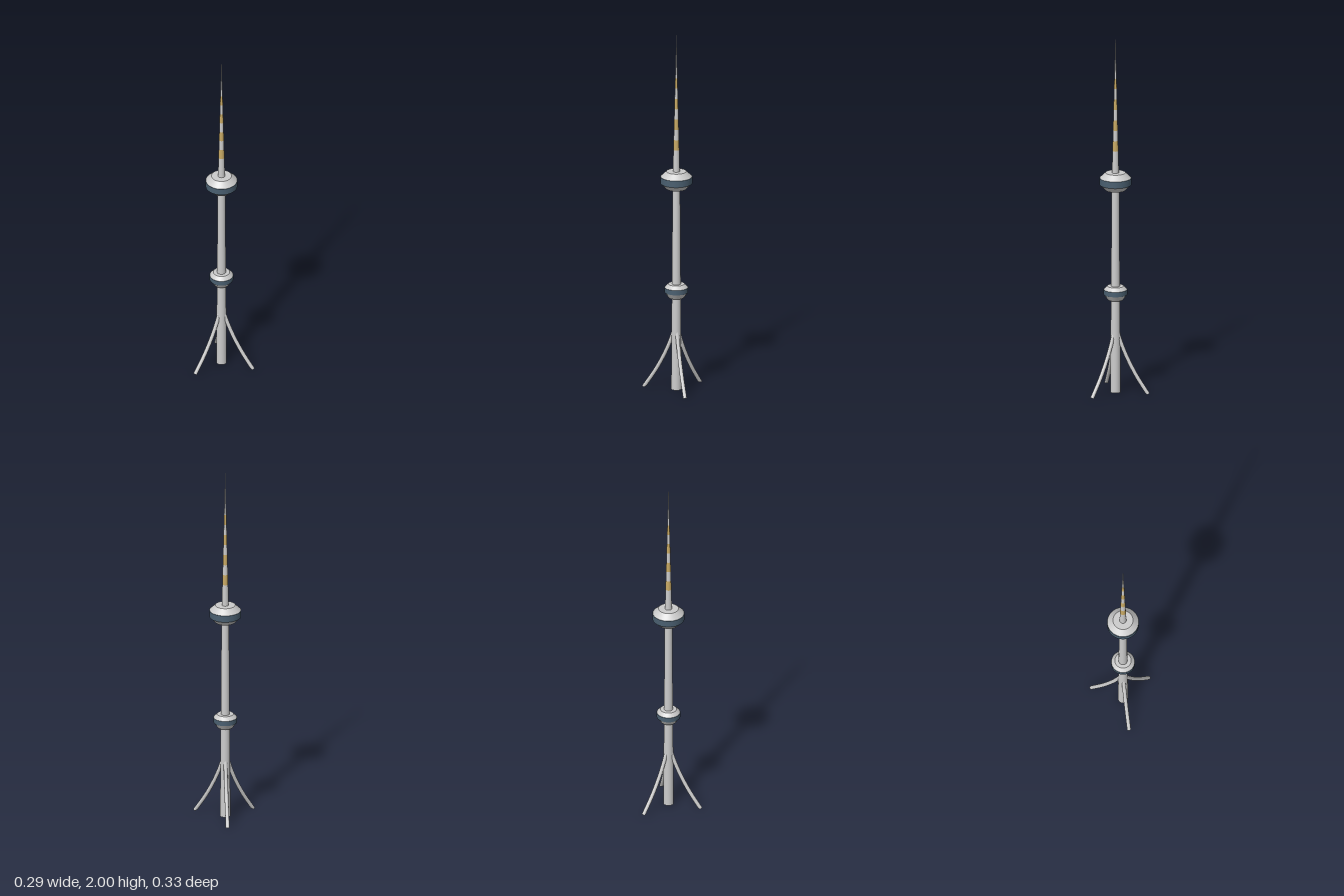
import * as THREE from 'three';

const grey = new THREE.MeshStandardMaterial({ color: 0xcccccc });
const glass = new THREE.MeshStandardMaterial({ color: 0x4a5f70 });
const gold = new THREE.MeshStandardMaterial({ color: 0xc8a964 });
const AXIS_X = -0.045;

function add(parent, name, geometry, material = grey) {
  const mesh = new THREE.Mesh(geometry, material);
  mesh.name = name;
  parent.add(mesh);
  return mesh;
}

// Tapered round section between two heights
function section(parent, name, y0, y1, r0, r1, material, sides = 32, open = false) {
  const mesh = add(parent, name, new THREE.CylinderGeometry(r1, r0, y1 - y0, sides, 1, open), material);
  mesh.position.y = (y0 + y1) / 2;
}

// Observation pod: lower cone, window band, sloped roof
function pod(parent, name, [y0, y1, y2, y3], rBottom, rMax, rTop) {
  const group = new THREE.Group();
  group.name = name;
  section(group, 'podUnderside', y0, y1, rBottom, rMax * 0.98, grey, 40);
  section(group, 'windowBand', y1, y2, rMax, rMax, glass, 40);
  section(group, 'podRoof', y2, y3, rMax * 0.98, rTop, grey, 40);
  parent.add(group);
}

export function createModel() {
  const model = new THREE.Group();
  model.name = 'tower';
  const tower = new THREE.Group();
  tower.name = 'towerBody';
  tower.position.x = AXIS_X;
  model.add(tower);

  // Main shaft and pods
  section(tower, 'shaft', 0, 1.2, 0.028, 0.02, grey);
  pod(tower, 'lowerPod', [0.518, 0.548, 0.575, 0.594], 0.042, 0.064, 0.044);
  pod(tower, 'upperPod', [1.132, 1.163, 1.2, 1.229], 0.054, 0.086, 0.054);

  // Striped spire tapering to a point
  const spireRadius = y => 0.0005 + 0.0185 * (2 - y) / 0.78;
  const stops = [1.22, 1.35];
  for (let i = 1; i <= 7; i++) stops.push(1.35 + i * 0.058);
  stops.push(2);
  for (let i = 0; i < stops.length - 1; i++) {
    const [a, b] = [stops[i], stops[i + 1]];
    const striped = i % 2 === 1;
    section(tower, striped ? 'spireStripe' : 'spireSection', a, b,
      spireRadius(a), spireRadius(b), striped ? gold : grey, 20);
  }

  // Three curved legs, trimmed flat at the ground
  const path = new THREE.CatmullRomCurve3([
    [0.012, 0.335], [0.034, 0.27], [0.068, 0.19], [0.117, 0.098], [0.181, 0],
  ].map(([r, y]) => new THREE.Vector3(r, y, 0)));
  const legGeometry = new THREE.TubeGeometry(path, 24, 0.0105, 12);
  const pos = legGeometry.attributes.position;
  for (let i = 0; i < pos.count; i++) pos.setY(i, Math.max(0, pos.getY(i)));
  const footGeometry = new THREE.CircleGeometry(0.0105, 16);
  footGeometry.rotateX(Math.PI / 2);
  for (let i = 0; i < 3; i++) {
    const leg = new THREE.Group();
    leg.name = 'leg';
    leg.rotation.y = i * Math.PI * 2 / 3;
    add(leg, 'legTube', legGeometry);
    add(leg, 'legFoot', footGeometry).position.set(0.18, 0, 0);
    tower.add(leg);
  }
  return model;
}
